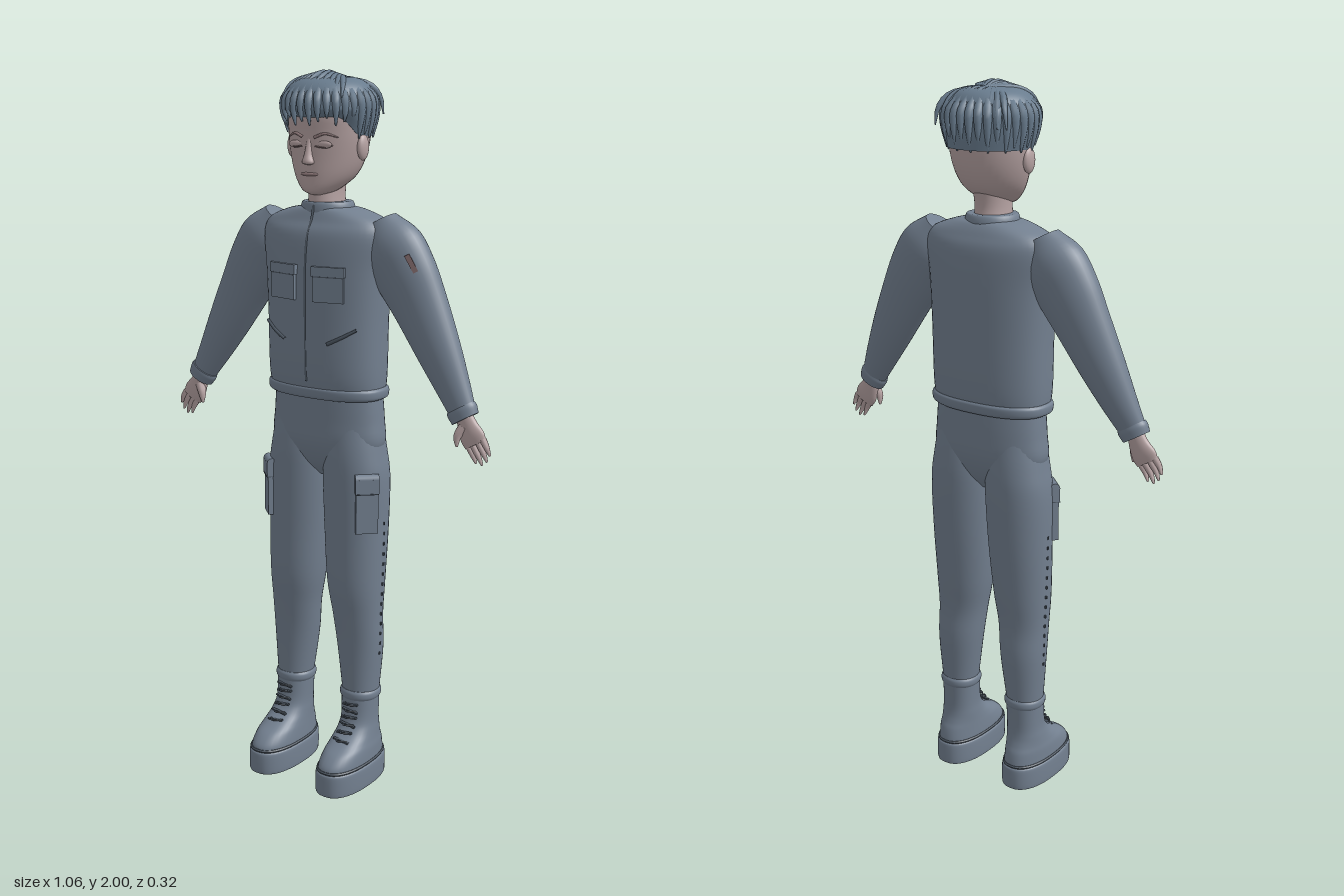
import * as THREE from 'three';

const V = (x, y, z) => new THREE.Vector3(x, y, z);
const X = V(1, 0, 0), BACK = V(0, 0, -1);

// Closed smooth body through rings [x, y, z, halfU, halfV]; u cross v points along the path
function loft(rings, { u = X, v = BACK, pow = 2, sides = 36, sub = 5 } = {}) {
  const path = new THREE.CatmullRomCurve3(rings.map(r => V(r[0], r[1], r[2])), false, 'catmullrom', 0.5);
  const size = new THREE.CatmullRomCurve3(rings.map(r => V(r[3], r[4], 0)), false, 'catmullrom', 0.5);
  const n = (rings.length - 1) * sub, pos = [], idx = [];
  const bend = t => Math.sign(t) * Math.pow(Math.abs(t), 2 / pow);
  for (let i = 0; i <= n; i++) {
    const c = path.getPoint(i / n), s = size.getPoint(i / n);
    for (let j = 0; j < sides; j++) {
      const a = j / sides * Math.PI * 2;
      const p = c.clone().addScaledVector(u, s.x * bend(Math.cos(a))).addScaledVector(v, s.y * bend(Math.sin(a)));
      pos.push(p.x, p.y, p.z);
      if (i < n) {
        const k = (j + 1) % sides, q = i * sides, w = q + sides;
        idx.push(q + j, q + k, w + k, q + j, w + k, w + j);
      }
    }
  }
  // End caps use their own vertices so the rims stay sharp
  for (const end of [0, n]) {
    const base = pos.length / 3, c = path.getPoint(end / n);
    for (let j = 0; j < sides * 3; j++) pos.push(pos[end * sides * 3 + j]);
    pos.push(c.x, c.y, c.z);
    for (let j = 0; j < sides; j++) {
      const k = (j + 1) % sides;
      idx.push(base + sides, base + (end ? j : k), base + (end ? k : j));
    }
  }
  const g = new THREE.BufferGeometry();
  g.setAttribute('position', new THREE.Float32BufferAttribute(pos, 3));
  g.setIndex(idx);
  g.computeVertexNormals();
  return g;
}

// Tube through points that thins from r0 to r1
function taper(points, r0, r1, segs = 10, sides = 8) {
  const curve = new THREE.CatmullRomCurve3(points.map(p => V(...p)));
  const g = new THREE.TubeGeometry(curve, segs, 1, sides);
  const p = g.attributes.position, q = V();
  for (let i = 0; i < p.count; i++) {
    const t = Math.floor(i / (sides + 1)) / segs, c = curve.getPointAt(t);
    q.fromBufferAttribute(p, i).sub(c).multiplyScalar(r0 + (r1 - r0) * t * t).add(c);
    p.setXYZ(i, q.x, q.y, q.z);
  }
  return g;
}

const box = (w, h, d, x, y, z, ry = 0, rz = 0) =>
  new THREE.BoxGeometry(w, h, d).rotateZ(rz).rotateY(ry).translate(x, y, z);
const ball = (rx, ry, rz, x, y, z) => new THREE.SphereGeometry(1, 20, 14).scale(rx, ry, rz).translate(x, y, z);

function mirrored(g) {
  const m = g.clone().scale(-1, 1, 1), a = m.index.array;
  for (let i = 0; i < a.length; i += 3) [a[i], a[i + 1]] = [a[i + 1], a[i]];
  return m;
}

export function createModel() {
  const model = new THREE.Group();
  const mat = (name, color) => Object.assign(new THREE.MeshStandardMaterial({ color }), { name });
  const cloth = mat('slate cloth', 0x738090), hair = mat('slate hair', 0x697c8e), skin = mat('skin', 0xb5a2a2);
  const trim = mat('dark trim', 0x4b5560), lips = mat('lips', 0x957f80), patch = mat('patch', 0x7d6668);
  const add = (name, g, m) => {
    const mesh = new THREE.Mesh(g, m);
    mesh.name = name;
    model.add(mesh);
  };
  const pair = (name, g, m) => { add(name + 'Left', g, m); add(name + 'Right', mirrored(g), m); };

  // Jacket
  add('jacket', loft([[0, 1.13, -.035, .172, .094], [0, 1.2, -.033, .178, .105], [0, 1.35, -.033, .18, .108],
    [0, 1.48, -.033, .186, .108], [0, 1.57, -.035, .197, .1], [0, 1.61, -.037, .18, .083],
    [0, 1.635, -.035, .12, .07], [0, 1.645, -.032, .07, .06]], { pow: 2.4, sides: 48 }), cloth);
  add('waistband', loft([[0, 1.13, -.035, .174, .096], [0, 1.137, -.035, .182, .102], [0, 1.155, -.035, .183, .104],
    [0, 1.163, -.035, .176, .1]], { pow: 2.4, sides: 48 }), cloth);
  add('collar', loft([[0, 1.615, -.033, .076, .07], [0, 1.64, -.033, .076, .07], [0, 1.657, -.032, .07, .066],
    [0, 1.659, -.032, .06, .058]]), cloth);
  add('zipper', taper([[0, 1.18, .07], [0, 1.35, .074], [0, 1.48, .074], [0, 1.57, .064], [0, 1.61, .045],
    [0, 1.65, .034]], .0035, .0035, 20, 6), trim);
  pair('chestPocket', box(.09, .09, .016, .073, 1.445, .067, .2), cloth);
  pair('chestPocketFlap', box(.097, .026, .02, .073, 1.482, .067, .2), cloth);
  pair('chestPocketSeam', box(.088, .003, .021, .073, 1.468, .067, .2), trim);
  pair('slashPocket', taper([[.07, 1.288, .071], [.11, 1.308, .062], [.148, 1.33, .045]], .005, .004), trim);

  // Sleeves
  const along = { u: V(.86, .5, 0), v: V(0, 0, 1) };
  pair('sleeve', loft([[.165, 1.61, -.04, .05, .04], [.2, 1.55, -.04, .09, .062], [.245, 1.48, -.04, .092, .061],
    [.293, 1.4, -.039, .081, .055], [.352, 1.295, -.034, .066, .048], [.405, 1.2, -.027, .05, .037],
    [.449, 1.122, -.018, .036, .025]], along), cloth);
  pair('cuff', loft([[.434, 1.148, -.019, .043, .031], [.44, 1.138, -.019, .045, .032], [.45, 1.12, -.018, .041, .03]],
    along), cloth);
  add('sleevePatch', box(.014, .05, .008, .293, 1.515, .009, .55, .5), patch);

  // Hands
  pair('palm', loft([[.446, 1.128, -.018, .024, .017], [.458, 1.1, -.018, .03, .016], [.473, 1.075, -.017, .037, .015],
    [.484, 1.056, -.016, .034, .012]], along), skin);
  [[.462, 1.052, .487, 1.005], [.477, 1.054, .505, 1.003], [.493, 1.062, .519, 1.014], [.505, 1.073, .527, 1.032]]
    .forEach(([x, y, tx, ty], i) => pair('finger' + (i + 1),
      taper([[x, y, -.016], [(x + tx) / 2 + .002, (y + ty) / 2, -.014], [tx, ty, -.016]], .0095, .003), skin));
  pair('thumb', taper([[.449, 1.1, -.012], [.436, 1.075, -.004], [.434, 1.045, -.004]], .014, .003), skin);

  // Trousers
  add('hips', loft([[0, .9, -.038, .07, .035], [0, .94, -.038, .135, .065], [0, 1.0, -.038, .176, .085],
    [0, 1.07, -.039, .173, .087], [0, 1.15, -.038, .166, .086]], { pow: 2.3, sides: 48 }), cloth);
  pair('trouserLeg', loft([[.117, .25, -.035, .05, .052], [.112, .4, -.038, .067, .06], [.107, .5, -.031, .074, .063],
    [.101, .6, -.03, .084, .074], [.097, .75, -.036, .092, .081], [.094, .9, -.039, .096, .085],
    [.089, .98, -.039, .09, .083], [.083, 1.06, -.039, .082, .074]], { pow: 2.15 }), cloth);
  pair('cargoPocket', box(.062, .145, .022, .167, .835, .018, .75), cloth);
  pair('cargoPocketFlap', box(.066, .04, .028, .167, .897, .018, .75), cloth);
  pair('cargoPocketTop', new THREE.CylinderGeometry(.014, .014, .066, 12).rotateZ(Math.PI / 2).rotateY(.75)
    .translate(.167, .916, .018), cloth);
  pair('cargoPocketSeam', box(.064, .003, .03, .167, .876, .018, .75), trim);
  for (let i = 0; i < 14; i++) {
    const y = .39 + i * .03;
    pair('seamStitch' + i, box(.006, .008, .004, .178 + .011 * Math.min(1, (y - .38) / .3), y, -.036), trim);
  }

  // Boots
  pair('sole', loft([[.12, 0, .02, .064, .131], [.12, .008, .02, .068, .135], [.12, .058, .02, .068, .135],
    [.12, .068, .02, .064, .131]], { pow: 2.4 }), cloth);
  pair('bootUpper', loft([[.12, .06, .02, .063, .131], [.12, .085, .018, .062, .127], [.12, .11, .008, .06, .112],
    [.119, .13, -.006, .057, .09], [.118, .155, -.022, .054, .067], [.117, .19, -.031, .051, .055],
    [.116, .265, -.035, .052, .053]], { pow: 2.3 }), cloth);
  pair('bootSeam', loft([[.12, .068, .02, .064, .131], [.12, .072, .02, .066, .133], [.12, .076, .02, .063, .13]],
    { pow: 2.4 }), trim);
  pair('bootCuff', loft([[.116, .248, -.035, .053, .054], [.116, .256, -.035, .057, .058],
    [.116, .268, -.035, .057, .058], [.116, .276, -.035, .052, .054]], { pow: 2.2 }), cloth);
  for (let i = 0; i < 6; i++) {
    const y = .14 + i * .019, z = [.067, .05, .035, .027, .023, .021][i];
    pair('lace' + i, box(.05, .005, .008, .118, y, z, 0, i % 2 ? .12 : -.12), trim);
    pair('laceEyelets' + i, taper([[.1, y, z - .004], [.118, y + .004, z + .016], [.136, y, z - .004]], .0025, .0025), trim);
  }

  // Neck and head
  add('neck', loft([[0, 1.62, -.03, .052, .06], [0, 1.68, -.028, .047, .055], [0, 1.76, -.04, .05, .06]]), skin);
  add('head', loft([[0, 1.678, .012, .02, .024], [0, 1.69, .002, .048, .05], [0, 1.725, -.022, .083, .078],
    [0, 1.775, -.035, .105, .091], [0, 1.84, -.04, .117, .096], [0, 1.9, -.04, .113, .094],
    [0, 1.95, -.045, .075, .065]]), skin);
  add('nose', loft([[0, 1.757, .053, .006, .006], [0, 1.763, .058, .018, .015], [0, 1.785, .056, .011, .012],
    [0, 1.825, .05, .007, .006]], { sides: 16 }), skin);
  add('mouth', ball(.029, .006, .008, 0, 1.733, .051), lips);
  pair('ear', ball(.012, .034, .022, .114, 1.802, -.03), skin);
  pair('eyelid', ball(.025, .01, .006, .045, 1.81, .049), skin);
  pair('eyeLine', taper([[.02, 1.806, .056], [.045, 1.803, .055], [.07, 1.808, .042]], .002, .001), lips);
  pair('brow', taper([[.018, 1.828, .056], [.048, 1.838, .05], [.08, 1.828, .033]], .004, .0015), lips);

  // Hair cap, raised above the forehead
  const cap = loft([[0, 1.83, -.042, .117, .106], [0, 1.87, -.039, .13, .112], [0, 1.91, -.037, .134, .113],
    [0, 1.95, -.037, .119, .102], [0, 1.977, -.04, .08, .07], [0, 1.985, -.04, .01, .01]], { sides: 48 });
  const p = cap.attributes.position;
  for (let i = 0; i < p.count; i++) {
    const y = p.getY(i);
    if (y < 1.9) p.setY(i, y + (1.9 - y) * .75 * THREE.MathUtils.smoothstep(p.getZ(i), -.02, .04));
  }
  cap.computeVertexNormals();
  add('hairCap', cap, hair);

  // Fringe, side and back locks around the cap
  for (let i = 0; i < 32; i++) {
    const a = i / 32 * Math.PI * 2 + .1, s = Math.sin(a), c = Math.cos(a), front = c > .35;
    const tip = front ? 1.858 + (i % 3) * .01 : 1.825 + (i % 2) * .012;
    const at = (r, y) => [s * .13 * r, y, -.038 + c * .112 * r];
    add('hairLock' + i, taper([at(.72, 1.955), at(.97, 1.925), at(1.0, 1.89), at(front ? .95 : .93, tip)],
      .014, .002), hair);
  }
  // Swept locks on the crown
  for (let i = 0; i < 5; i++) {
    const x = .012 + i * .018;
    pair('crownLock' + i, taper([[x * .3, 1.975, -.06], [x * .7, 1.989 - i * .003, -.03 + i * .004],
      [x, 1.978 - i * .004, .02], [x * 1.15, 1.945 - i * .004, .06 - i * .004]], .011, .002), hair);
    pair('backLock' + i, taper([[x * .3, 1.97, -.05], [x, 1.972 - i * .003, -.1], [x * 1.25, 1.93, -.135 + i * .003],
      [x * 1.35, 1.885, -.147 + i * .005]], .012, .002), hair);
  }
  return model;
}
